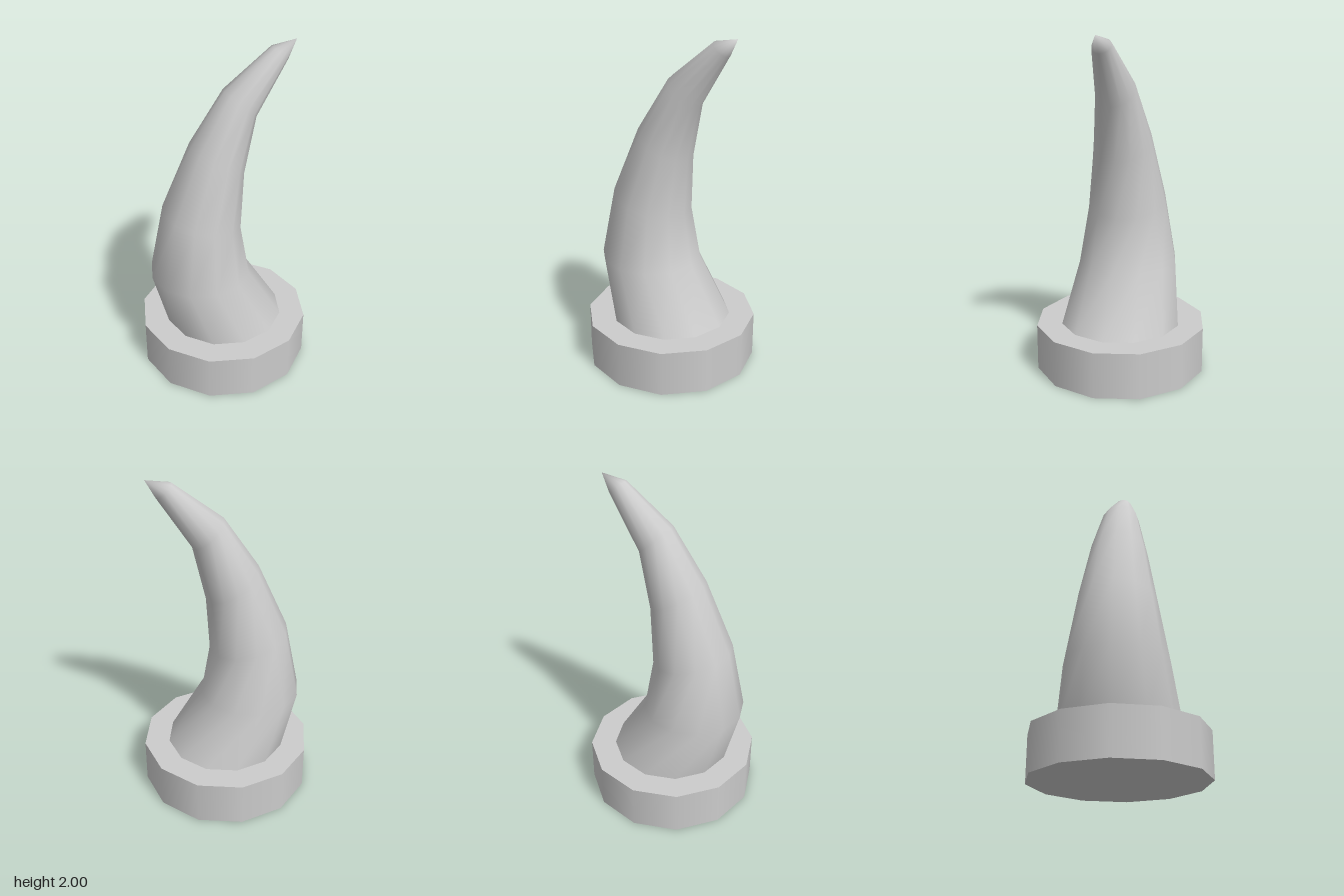
import * as THREE from 'three';

const SIDES = 12;
const BASE_RADIUS = 0.512;
const BASE_HEIGHT = 0.275;

// Each ring: outer-curve point (x, y), inner-curve point (x, y), half width in z
const RINGS = [
  [-0.36, 0.275, 0.36, 0.275, 0.36],
  [-0.45, 0.625, 0.15, 0.62, 0.3],
  [-0.365, 1.05, 0.095, 0.93, 0.237],
  [-0.19, 1.45, 0.115, 1.27, 0.177],
  [0.01, 1.757, 0.187, 1.597, 0.118],
  [0.285, 1.975, 0.375, 1.9, 0.056],
];
const TIP = [0.428, 2, 0];

// Tapered, bent tube lofted through the rings and closed at a point
function hornGeometry() {
  const positions = [];
  const indices = [];
  for (const [ox, oy, ix, iy, halfZ] of RINGS) {
    for (let j = 0; j < SIDES; j++) {
      const a = (j / SIDES) * Math.PI * 2;
      const t = (1 + Math.cos(a)) / 2;
      positions.push(ox + (ix - ox) * t, oy + (iy - oy) * t, halfZ * Math.sin(a));
    }
  }
  const tip = positions.length / 3;
  positions.push(...TIP);

  for (let i = 0; i < RINGS.length; i++) {
    for (let j = 0; j < SIDES; j++) {
      const k = (j + 1) % SIDES;
      const a = i * SIDES + j;
      const b = i * SIDES + k;
      if (i === RINGS.length - 1) indices.push(a, tip, b);
      else indices.push(a, a + SIDES, b, b, a + SIDES, b + SIDES);
    }
  }
  const geometry = new THREE.BufferGeometry();
  geometry.setAttribute('position', new THREE.Float32BufferAttribute(positions, 3));
  geometry.setIndex(indices);
  geometry.computeVertexNormals();
  return geometry;
}

export function createModel() {
  const model = new THREE.Group();
  model.name = 'mountedHorn';
  const material = new THREE.MeshStandardMaterial({ color: 0xcccccc });

  // Twelve-sided disc the horn stands on
  const base = new THREE.Mesh(
    new THREE.CylinderGeometry(BASE_RADIUS, BASE_RADIUS, BASE_HEIGHT, SIDES),
    material
  );
  base.name = 'base';
  base.position.y = BASE_HEIGHT / 2;
  model.add(base);

  // Curved horn
  const horn = new THREE.Mesh(hornGeometry(), material);
  horn.name = 'horn';
  model.add(horn);

  return model;
}
